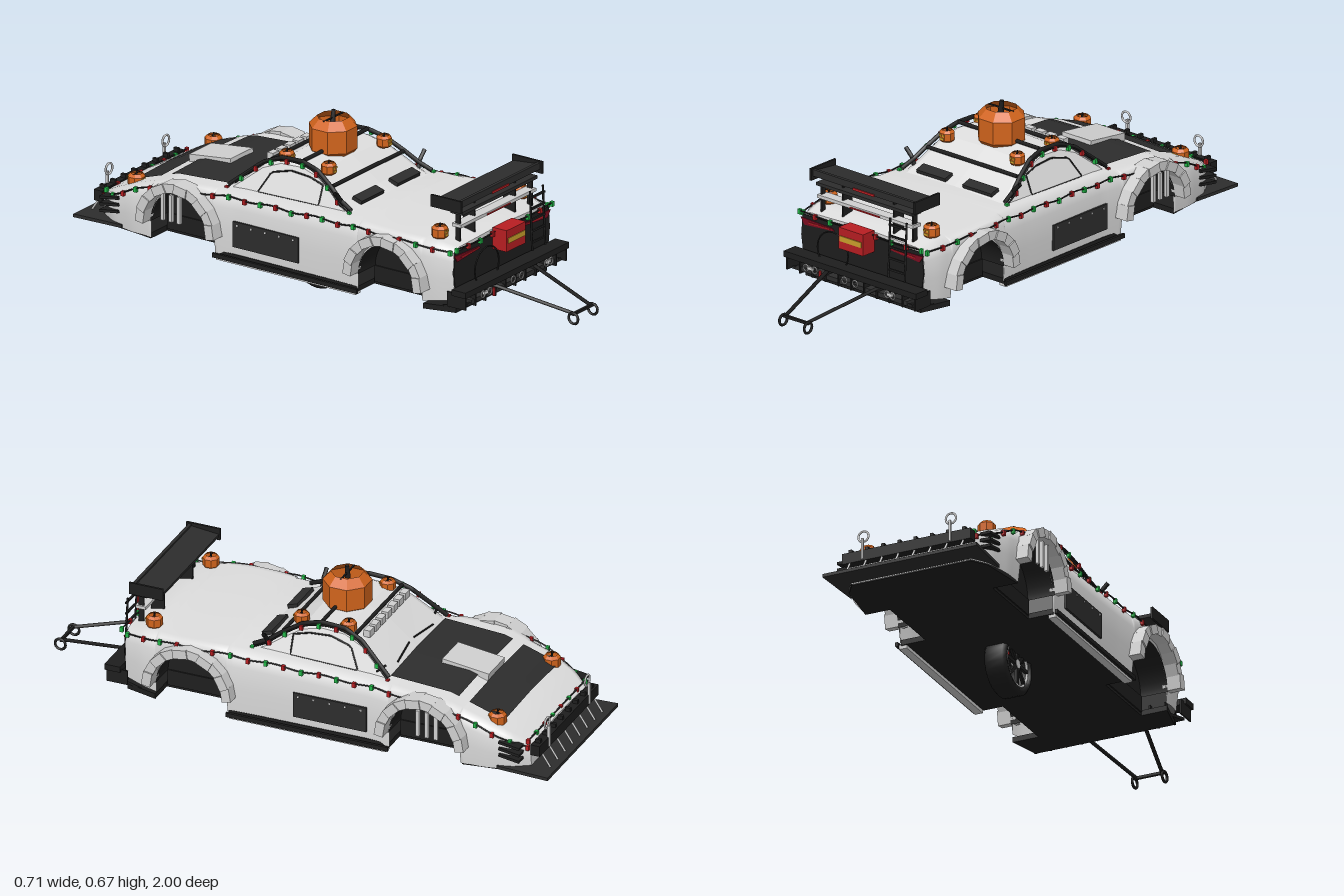
import * as THREE from 'three';

const mat = (name, color, side = THREE.FrontSide) => {
  const m = new THREE.MeshStandardMaterial({ color, side });
  m.name = name;
  return m;
};
const D = THREE.DoubleSide;
const V = (x, y, z) => new THREE.Vector3(x, y, z);
const ARCHES = [0.36, -0.53], ARCH_Y = 0.218, ARCH_R = 0.136;

// linear lookup in [[z, value], ...] sorted by falling z
function look(t, z) {
  if (z >= t[0][0]) return t[0][1];
  for (let i = 1; i < t.length; i++) {
    if (z >= t[i][0]) {
      return THREE.MathUtils.mapLinear(z, t[i - 1][0], t[i][0], t[i - 1][1], t[i][1]);
    }
  }
  return t[t.length - 1][1];
}
const TOP = [[0.62, 0.39], [0.55, 0.405], [0.2, 0.41], [-0.3, 0.4], [-0.6, 0.382], [-0.75, 0.333], [-0.85, 0.288], [-0.91, 0.255]];
const WIDE = [[0.62, 0.285], [0.55, 0.303], [0.4, 0.314], [0.1, 0.305], [-0.3, 0.3], [-0.52, 0.312], [-0.75, 0.303], [-0.85, 0.28], [-0.91, 0.24]];
const LOW = [[0.62, 0.2], [0.48, 0.175], [0.2, 0.16], [-0.91, 0.155]];
const ROOF = [[0.15, 0.41], [0.1, 0.432], [0.05, 0.467], [-0.02, 0.508], [-0.09, 0.525], [-0.18, 0.521], [-0.25, 0.493], [-0.37, 0.395]];
const topY = (x, z) => look(TOP, z) + 0.008 * Math.max(0, 1 - Math.abs(x) / (0.88 * look(WIDE, z)));
const cabinX = (y) => 0.25 - 0.4 * (y - 0.385);
const polygon = (pts) => new THREE.Shape(pts.map(([x, y]) => new THREE.Vector2(x, y)));
const plate = (pts, depth) => new THREE.ExtrudeGeometry(polygon(pts), { depth, bevelEnabled: false });

function bodySection(z) {
  const w = look(WIDE, z), t = look(TOP, z);
  let b = look(LOW, z);
  for (const c of ARCHES) {
    const d = Math.abs(z - c);
    if (d < ARCH_R) b = ARCH_Y + Math.sqrt(ARCH_R ** 2 - d * d);
  }
  const half = [[0.97, 0], [1, 0.4], [1, 0.75], [0.965, 0.94], [0.88, 1]].map(([x, f]) => [w * x, b + (t - b) * f]);
  return [...half, [0, t + 0.008], ...half.map(([x, y]) => [-x, y]).reverse()];
}
function cabinSection(z) {
  const t = look(ROOF, z), y = Math.max(t - 0.012, 0.385), e = cabinX(y);
  const half = [[0.25, 0.385], [e, y], [e - 0.025, t]];
  return [...half, [0, t + 0.006], ...half.map(([x, q]) => [-x, q]).reverse()];
}
// skin through cross-sections
function loft(zs, section) {
  const pos = [], idx = [];
  let n = 0;
  for (const z of zs) {
    const s = section(z);
    n = s.length;
    s.forEach(([x, y]) => pos.push(x, y, z));
  }
  for (let i = 0; i < zs.length - 1; i++) {
    for (let j = 0; j < n - 1; j++) {
      const a = i * n + j, b = a + n;
      idx.push(a, b, a + 1, b, b + 1, a + 1);
    }
  }
  const g = new THREE.BufferGeometry();
  g.setAttribute('position', new THREE.Float32BufferAttribute(pos, 3));
  g.setIndex(idx);
  g.computeVertexNormals();
  return g;
}

export function createModel() {
  const M = {
    white: mat('body white', 0xdedede, D), grey: mat('trim grey', 0xd0d0d0, D), black: mat('black', 0x1e1e1e, D),
    coal: mat('charcoal', 0x2d2d2d, D), orange: mat('pumpkin orange', 0xd2641c, D), red: mat('red', 0xb81e22),
    green: mat('green', 0x22b848), yellow: mat('yellow', 0xcca02c), wine: mat('tail light red', 0x7c0c20)
  };
  const car = new THREE.Group();
  car.name = 'car';
  const add = (name, geo, m, x = 0, y = 0, z = 0) => {
    const o = new THREE.Mesh(geo, m);
    o.name = name;
    o.position.set(x, y, z);
    car.add(o);
    return o;
  };
  const box = (name, m, w, h, d, x, y, z) => add(name, new THREE.BoxGeometry(w, h, d), m, x, y, z);
  const tube = (name, m, pts, r, smooth = false) => {
    let path = new THREE.CatmullRomCurve3(pts);
    if (!smooth) {
      path = new THREE.CurvePath();
      for (let i = 1; i < pts.length; i++) path.add(new THREE.LineCurve3(pts[i - 1], pts[i]));
    }
    return add(name, new THREE.TubeGeometry(path, pts.length * 6, r, 6), m);
  };
  const ring = (name, m, r, t, x, y, z) => add(name, new THREE.TorusGeometry(r, t, 6, 20), m, x, y, z);

  // body shell, end caps and cabin
  const zs = [];
  for (let z = 0.62; z > -0.91; z -= 0.02) zs.push(z);
  for (const c of ARCHES) {
    for (const d of [ARCH_R + 0.0001, ARCH_R - 0.0001, ARCH_R - 0.005]) zs.push(c + d, c - d);
  }
  zs.push(-0.91);
  zs.sort((a, b) => b - a);
  add('bodyShell', loft(zs, bodySection), M.white);
  for (const [z, n] of [[0.62, 'rearCap'], [-0.91, 'noseCap']]) {
    add(n, new THREE.ShapeGeometry(polygon(bodySection(z))), M.white, 0, 0, z);
  }
  add('cabin', loft(ROOF.map((p) => p[0]), cabinSection).toNonIndexed(), M.white).geometry.computeVertexNormals();

  // floor with wheel openings, wheel tubs, blocky flares
  const edge = [[0.27, 0.62], [0.3, 0.5], [0.2, 0.5], [0.2, 0.22], [0.3, 0.22], [0.295, -0.39], [0.2, -0.39], [0.2, -0.67], [0.295, -0.67], [0.27, -0.85], [0.23, -0.91]];
  const outline = [...edge, ...edge.map(([x, z]) => [-x, z]).reverse()];
  add('floor', plate(outline, 0.02).rotateX(Math.PI / 2), M.black, 0, 0.17, 0);
  for (const s of [1, -1]) {
    for (const c of ARCHES) {
      const tub = new THREE.CylinderGeometry(ARCH_R, ARCH_R, 0.11, 20, 1, true, 0, Math.PI).rotateZ(Math.PI / 2);
      add('wheelTub', tub, M.black, s * 0.25, ARCH_Y, c);
      add('tubWall', new THREE.CircleGeometry(ARCH_R, 20, 0, Math.PI).rotateY(s * Math.PI / 2), M.black, s * 0.2, ARCH_Y, c);
      box('tubSkirt', M.black, 0.01, 0.06, 0.27, s * 0.2, 0.19, c);
      for (let i = 0; i < 10; i++) {
        const a = 0.16 + (i / 9) * (Math.PI - 0.32), r = 0.151;
        const f = box('archFlare', M.grey, i % 2 ? 0.06 : 0.07, 0.034, 0.054, s * 0.32, ARCH_Y + 0.01 + r * Math.sin(a), c + r * Math.cos(a));
        f.rotation.x = Math.PI / 2 - a;
      }
    }
    for (let i = 0; i < 3; i++) box('fenderBlade', M.grey, 0.012, 0.1, 0.014, s * 0.335, 0.3, -0.52 - i * 0.035);
    // sills, side panels and nose canards
    box('sillStrip', M.black, 0.01, 0.016, 0.62, s * 0.31, 0.155, -0.085);
    box('sill', M.grey, 0.03, 0.016, 0.6, s * 0.29, 0.146, -0.085);
    box('sidePanel', M.coal, 0.008, 0.095, 0.28, s * 0.305, 0.25, -0.17);
    for (let i = 0; i < 5; i++) box('panelRivet', M.grey, 0.006, 0.006, 0.006, s * 0.308, 0.285, -0.05 - i * 0.06);
    for (let i = 0; i < 3; i++) box('canard', M.black, 0.04, 0.01, 0.08, s * 0.278, 0.212 + i * 0.025, -0.85).rotation.x = -0.15;
    // side window frame
    const win = [[0.01, 0.475], [0.01, 0.405], [-0.25, 0.4], [-0.21, 0.475], [-0.13, 0.495], [-0.05, 0.49], [0.01, 0.475]];
    tube('windowFrame', M.black, win.map(([z, y]) => V(s * (cabinX(y) + 0.001), y, z)), 0.003);
    // roof cage rail and intake pipe
    const rail = ROOF.map(([z, y]) => V(s * (cabinX(y) + 0.002), y + 0.01, z));
    tube('cageRail', M.black, rail, 0.008);
    tube('intakePipe', M.black, [V(s * 0.225, 0.41, 0.1), V(s * 0.24, 0.45, 0.1), V(s * 0.268, 0.478, 0.1)], 0.008);
    tube('mirrorArm', M.black, [V(s * 0.21, 0.425, -0.34), V(s * 0.262, 0.425, -0.33)], 0.004);
    box('deckVent', M.coal, 0.135, 0.014, 0.04, s * 0.108, 0.432, 0.128).rotation.x = 0.3;
    tube('wiper', M.black, [V(s * 0.15, 0.415, -0.36), V(s * 0.02, 0.425, -0.345)], 0.003);
  }
  for (const z of [-0.09, -0.22, 0.05]) {
    const y = look(ROOF, z) + 0.012, x = cabinX(y);
    tube('cageCrossbar', M.black, [V(-x, y, z), V(x, y, z)], 0.007);
  }
  for (let i = 0; i < 7; i++) box('roofLamp', M.grey, 0.036, 0.026, 0.025, -0.15 + i * 0.05, 0.51, -0.25);

  // bonnet panels and scoop
  const patch = (name, w, z0, z1) => {
    const g = new THREE.PlaneGeometry(w, z1 - z0, 8, 8).rotateX(-Math.PI / 2).translate(0, 0, (z0 + z1) / 2);
    const p = g.attributes.position;
    for (let i = 0; i < p.count; i++) p.setY(i, topY(p.getX(i), p.getZ(i)) + 0.005);
    g.computeVertexNormals();
    add(name, g, M.coal);
  };
  patch('bonnetFrontPanel', 0.46, -0.8, -0.67);
  patch('bonnetRearPanel', 0.46, -0.63, -0.37);
  box('bonnetScoop', M.grey, 0.135, 0.03, 0.18, 0, 0.39, -0.58).rotation.x = -0.12;

  // pumpkins: open faceted shells with stems
  const pumpkin = (r, x, y, z) => {
    const prof = [[0.78, 0], [1, 0.25], [1, 1.2], [0.66, 1.55]].map(([a, b]) => new THREE.Vector2(a * r, b * r));
    const g = new THREE.LatheGeometry(prof, 8, Math.PI / 8).toNonIndexed();
    g.computeVertexNormals();
    add('pumpkin', g, M.orange, x, y, z);
    const stem = new THREE.CylinderGeometry(r * 0.09, r * 0.13, r * 0.55, 6);
    add('pumpkinStem', stem, M.black, x, y + r * 1.55, z).rotation.z = -0.12;
    box('stemBar', M.black, r * 1.32, r * 0.06, r * 0.06, x, y + r * 1.5, z);
    if (r > 0.05) return;
    for (const e of [-1, 1]) box('pumpkinEye', M.yellow, r * 0.3, r * 0.25, 0.004, x + e * r * 0.25, y + r * 0.95, z + r * 0.95);
    box('pumpkinMouth', M.yellow, r * 0.65, r * 0.25, 0.004, x, y + r * 0.5, z + r * 0.95);
  };
  pumpkin(0.087, 0, 0.507, -0.1);
  for (const s of [1, -1]) {
    pumpkin(0.028, s * 0.165, 0.5, 0);
    pumpkin(0.028, s * 0.165, 0.505, -0.18);
    pumpkin(0.03, s * 0.24, 0.403, 0.53);
    pumpkin(0.032, s * 0.23, 0.302, -0.778);
  }

  // rear wing
  box('wingBlade', M.coal, 0.48, 0.012, 0.11, 0, 0.535, 0.555).rotation.x = -0.1;
  box('wingFlap', M.coal, 0.48, 0.025, 0.012, 0, 0.54, 0.61);
  box('lowerWing', M.coal, 0.45, 0.012, 0.05, 0, 0.503, 0.59);
  box('lipSpoiler', M.grey, 0.45, 0.012, 0.04, 0, 0.455, 0.59);
  box('lipStripe', M.red, 0.14, 0.005, 0.004, 0, 0.453, 0.611);
  for (const s of [1, -1]) {
    box('wingEndPlate', M.black, 0.008, 0.045, 0.13, s * 0.243, 0.535, 0.56);
    box('wingPost', M.black, 0.006, 0.13, 0.05, s * 0.12, 0.465, 0.57);
    box('lipPost', M.black, 0.006, 0.11, 0.02, s * 0.215, 0.45, 0.59);
  }
  box('wingStripe', M.red, 0.1, 0.008, 0.004, 0, 0.53, 0.618);

  // tail panel, lights, box, ladder and hose ring
  add('tailPanel', plate([[-0.27, 0.18], [0.27, 0.18], [0.287, 0.3], [0.28, 0.378], [-0.28, 0.378], [-0.287, 0.3]], 0.006), M.black, 0, 0, 0.618);
  for (const s of [1, -1]) {
    const mirror = (pts) => pts.map(([x, y]) => [s * x, y]);
    add('tailLight', plate(mirror([[0.13, 0.352], [0.27, 0.341], [0.287, 0.366], [0.14, 0.36]]), 0.004), M.wine, 0, 0, 0.623);
    add('tailLightStrip', plate(mirror([[0.15, 0.354], [0.25, 0.351], [0.25, 0.356], [0.15, 0.357]]), 0.004), M.red, 0, 0, 0.625);
  }
  box('fuelBox', M.red, 0.114, 0.08, 0.06, 0, 0.365, 0.655);
  box('fuelLabel', M.yellow, 0.1, 0.02, 0.004, 0, 0.365, 0.686);
  for (const x of [0.145, 0.222]) tube('ladderRail', M.black, [V(x, 0.26, 0.65), V(x, 0.48, 0.64)], 0.004);
  for (let i = 0; i < 5; i++) box('ladderRung', M.black, 0.077, 0.007, 0.007, 0.184, 0.29 + i * 0.042, 0.647);
  ring('hoseRing', M.black, 0.072, 0.003, -0.12, 0.285, 0.645);

  // rear bumper, diffuser and exhausts
  box('rearBumper', M.black, 0.62, 0.022, 0.06, 0, 0.24, 0.66);
  box('lowerBumper', M.coal, 0.52, 0.015, 0.05, 0, 0.2, 0.655);
  box('diffuser', M.black, 0.56, 0.01, 0.16, 0, 0.175, 0.6).rotation.x = -0.25;
  for (let i = 0; i < 11; i++) box('diffuserFin', M.black, 0.006, 0.055, 0.08, -0.3 + i * 0.06, 0.21, 0.645);
  for (const x of [-0.205, -0.165, -0.025, 0.025, 0.175, 0.2]) ring('exhaustTip', M.grey, 0.012, 0.0025, x, 0.215, 0.69);
  for (const s of [1, -1]) box('reverseLamp', M.white, 0.025, 0.01, 0.008, s * 0.187, 0.216, 0.688);
  box('towStrap', M.red, 0.008, 0.03, 0.008, -0.14, 0.205, 0.69);

  // tow bar
  for (const s of [1, -1]) {
    tube('towBar', M.black, [V(s * 0.13, 0.23, 0.63), V(s * 0.05, 0.157, 0.97)], 0.007);
    ring('towEye', M.black, 0.02, 0.005, s * 0.058, 0.142, 0.972).rotation.y = Math.PI / 2;
  }
  box('towCrossbar', M.black, 0.12, 0.01, 0.01, 0, 0.157, 0.97);

  // nose bumper, splitter, struts and tow rings
  box('noseBumper', M.black, 0.5, 0.04, 0.035, 0, 0.238, -0.93);
  add('splitter', plate([[-0.3, -1], [0.3, -1], [0.29, -0.8], [-0.29, -0.8]], 0.012).rotateX(Math.PI / 2), M.coal, 0, 0.17, 0);
  for (let i = 0; i < 8; i++) {
    const x = -0.22 + i * 0.063;
    tube('splitterStrut', M.grey, [V(x, 0.17, -0.975), V(x, 0.215, -0.945)], 0.004);
    box('bumperStud', M.black, 0.012, 0.02, 0.02, x, 0.262, -0.93);
  }
  for (const s of [1, -1]) {
    box('towPost', M.grey, 0.008, 0.08, 0.01, s * 0.17, 0.262, -0.947);
    ring('towRing', M.grey, 0.02, 0.004, s * 0.17, 0.312, -0.94);
  }

  // centre wheel: open black barrel, pale rim edge, black spokes
  const tyre = [[0.085, -0.04], [0.1, -0.043], [0.112, -0.032], [0.112, 0.032], [0.1, 0.043], [0.085, 0.04], [0.085, -0.04]];
  add('tyre', new THREE.LatheGeometry(tyre.map((p) => new THREE.Vector2(...p)), 28).rotateZ(Math.PI / 2), M.black, 0, 0.112, -0.145);
  ring('rim', M.grey, 0.08, 0.005, -0.034, 0.112, -0.145).rotation.y = Math.PI / 2;
  for (let i = 0; i < 8; i++) {
    const a = (i / 8) * Math.PI * 2;
    const spoke = box('spoke', M.black, 0.01, 0.065, 0.013, -0.034, 0.112 + 0.045 * Math.cos(a), -0.145 + 0.045 * Math.sin(a));
    spoke.rotation.x = a;
  }
  add('hub', new THREE.CylinderGeometry(0.016, 0.016, 0.02, 12).rotateZ(Math.PI / 2), M.grey, -0.03, 0.112, -0.145);
  box('brakeCaliper', M.red, 0.02, 0.022, 0.012, -0.015, 0.135, -0.19);

  // fairy lights round the body and over the cabin
  const lights = (pts, n) => {
    tube('lightWire', M.black, pts, 0.003, true);
    new THREE.CatmullRomCurve3(pts).getSpacedPoints(n).forEach((p, i) => {
      box('lightBulb', i % 2 ? M.red : M.green, 0.012, 0.018, 0.012, p.x, p.y - 0.004, p.z);
    });
  };
  for (const s of [1, -1]) {
    const side = [];
    for (let i = 0; i <= 16; i++) {
      const z = 0.61 - i * 0.0945;
      side.push(V(s * (look(WIDE, z) + 0.004), look(TOP, z) - 0.012 - 0.008 * (i % 2), z));
    }
    lights(side, 23);
    lights(ROOF.map(([z, y]) => V(s * (cabinX(y) + 0.012), y + 0.002, z)), 9);
  }
  lights([-0.285, -0.14, 0, 0.14, 0.285].map((x, i) => V(x, 0.393 - 0.006 * (i % 2), 0.634)), 8);
  lights([-0.24, 0, 0.24].map((x) => V(x, 0.268, -0.9)), 7);
  return car;
}
